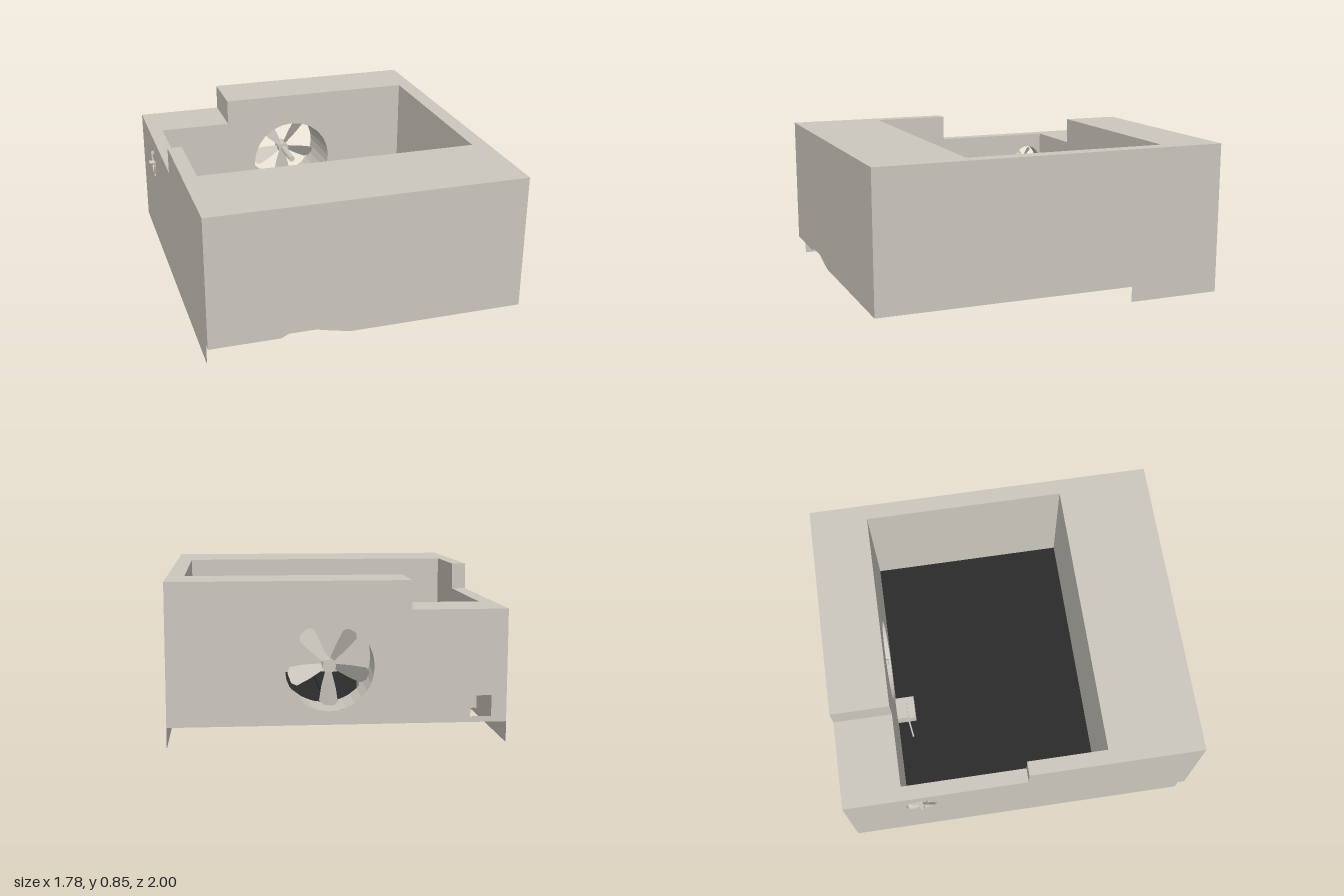
import * as THREE from 'three';

export function createModel() {
  const model = new THREE.Group();
  const casing = new THREE.MeshStandardMaterial({ color: 0xcbc7be, side: THREE.DoubleSide, flatShading: true });
  casing.name = 'warm grey casing';
  const dark = new THREE.MeshStandardMaterial({ color: 0x2b2b2b, side: THREE.DoubleSide, flatShading: true });
  dark.name = 'charcoal mesh';

  const add = (name, geometry, material = casing, parent = model) => {
    const mesh = new THREE.Mesh(geometry, material);
    mesh.name = name;
    parent.add(mesh);
    return mesh;
  };
  const outline = (pts) => pts.map(([u, v]) => new THREE.Vector2(u, v));
  const circle = (u, v, r) => new THREE.Path().absarc(u, v, r, 0, Math.PI * 2, true);
  const square = (u, v, h) => new THREE.Path(outline([[u - h, v - h], [u - h, v + h], [u + h, v + h], [u + h, v - h]]));

  // Thin sheet standing across an axis: z uses (x, y), x uses (z, y), y uses (x, z)
  const sheet = (name, axis, at, pts, holes = []) => {
    const shape = new THREE.Shape(outline(pts));
    shape.holes.push(...holes);
    const mesh = add(name, new THREE.ShapeGeometry(shape, 12));
    if (axis === 'x') mesh.rotation.y = -Math.PI / 2;
    if (axis === 'y') mesh.rotation.x = Math.PI / 2;
    mesh.position[axis] = at;
    return mesh;
  };

  // Outer and inner extents, top heights and step positions
  const L = 0.89, R = -0.86, il = 0.80, ir = -0.78, ib = -0.67, inf = 0.475;
  const top = 0.85, low = 0.70, base = 0.11, stepX = -0.36, stepZ = 0.03;
  const big = { x: 0.06, y: 0.41, outer: 0.23, inner: 0.25 };
  const small = { z: -0.575, y: 0.53, r: 0.088 };

  // Outer walls
  sheet('frontWall', 'z', 1, [[R, base], [-0.47, base], [-0.43, 0.13], [-0.28, 0.13], [-0.2, 0.11],
    [-0.09, 0.087], [L, 0.087], [L, top], [R, top]]);
  sheet('backWall', 'z', -1, [[R, base], [L, base], [L, top], [stepX, top], [stepX, low], [R, low]],
    [circle(big.x, big.y, big.outer), square(-0.725, 0.195, 0.055)]);
  sheet('leftWall', 'x', L, [[-1, 0], [-0.46, 0], [-0.46, 0.087], [1, 0.087], [1, top], [-1, top]]);
  sheet('rightWall', 'x', R, [[-1, 0], [0.96, 0], [0.96, base], [1, base], [1, top], [stepZ, top], [stepZ, low], [-1, low]],
    [circle(small.z, small.y, small.r)]);

  // Inner walls around the well
  sheet('innerFrontWall', 'z', inf, [[ir, base], [il, base], [il, top], [ir, top]]);
  sheet('innerBackWall', 'z', ib, [[ir, base], [il, base], [il, top], [stepX, top], [stepX, low], [ir, low]],
    [circle(big.x, big.y, big.inner)]);
  sheet('innerLeftWall', 'x', il, [[ib, base], [inf, base], [inf, top], [ib, top]]);
  sheet('innerRightWall', 'x', ir, [[ib, base], [inf, base], [inf, top], [stepZ, top], [stepZ, low], [ib, low]],
    [circle(small.z, small.y, small.r)]);

  // Rim, lowered corner and the steps between them
  sheet('upperRim', 'y', top, [[stepX, -1], [L, -1], [L, 1], [R, 1], [R, stepZ], [ir, stepZ], [ir, inf],
    [il, inf], [il, ib], [stepX, ib]]);
  sheet('loweredRim', 'y', low, [[R, -1], [stepX, -1], [stepX, ib], [ir, ib], [ir, stepZ], [R, stepZ]]);
  sheet('backStep', 'x', stepX, [[-1, low], [ib, low], [ib, top], [-1, top]]);
  sheet('sideStep', 'z', stepZ, [[R, low], [ir, low], [ir, top], [R, top]]);

  // Dark mesh floor with its centre bar
  const floor = add('meshFloor', new THREE.BoxGeometry(il - ir, 0.008, inf - ib), dark);
  floor.position.set((il + ir) / 2, 0.114, (inf + ib) / 2);
  const bar = add('floorBar', new THREE.BoxGeometry(0.016, 0.012, 0.58), dark);
  bar.position.set(0.033, 0.124, -0.005);

  // Fan built facing +z: hub, shaft and pitched blades
  const fan = (name, radius, count, hubR, hubLen, shaftLen) => {
    const group = new THREE.Group();
    group.name = name;
    const hub = add('hub', new THREE.CylinderGeometry(hubR, hubR, hubLen, 12), casing, group);
    hub.rotation.x = Math.PI / 2;
    const shaft = add('shaft', new THREE.CylinderGeometry(hubR * 0.55, hubR * 0.55, shaftLen, 10), casing, group);
    shaft.rotation.x = Math.PI / 2;
    shaft.position.z = shaftLen / 2;
    const petal = new THREE.Shape(outline([[-0.07, 0.1], [0.07, 0.1], [0.2, 0.55], [0.26, 0.88], [0.15, 0.99],
      [-0.12, 1], [-0.26, 0.9], [-0.2, 0.55]].map(([u, v]) => [u * radius, v * radius])));
    for (let i = 0; i < count; i++) {
      const arm = new THREE.Group();
      arm.name = 'bladeArm';
      arm.rotation.z = Math.PI + (i * Math.PI * 2) / count;
      add('blade', new THREE.ShapeGeometry(petal), casing, arm).rotation.y = 0.6;
      group.add(arm);
    }
    model.add(group);
    return group;
  };

  // Large rear fan and its flared duct
  const duct = add('rearDuct', new THREE.CylinderGeometry(big.inner, big.outer, ib + 1, 32, 1, true));
  duct.rotation.x = Math.PI / 2;
  duct.position.set(big.x, big.y, (ib - 1) / 2);
  fan('rearFan', 0.215, 5, 0.035, 0.1, 0.25).position.set(big.x, big.y, -0.92);

  // Small side fan, its duct and outer nub
  const sideDuct = add('sideDuct', new THREE.CylinderGeometry(small.r, small.r, ir - R, 24, 1, true));
  sideDuct.rotation.z = Math.PI / 2;
  sideDuct.position.set((R + ir) / 2, small.y, small.z);
  const sideFan = fan('sideFan', 0.08, 5, 0.014, 0.07, 0.07);
  sideFan.rotation.y = Math.PI / 2;
  sideFan.position.set(-0.855, small.y, small.z);

  // Float valve: box, cap and arm
  add('valveBox', new THREE.BoxGeometry(0.135, 0.07, 0.11)).position.set(-0.198, 0.235, -0.61);
  add('valveCap', new THREE.BoxGeometry(0.105, 0.02, 0.065)).position.set(-0.212, 0.278, -0.632);
  const arm = new THREE.LineCurve3(new THREE.Vector3(-0.25, 0.24, -0.603), new THREE.Vector3(-0.37, 0.22, -0.585));
  add('valveArm', new THREE.TubeGeometry(arm, 1, 0.005, 6));

  return model;
}
